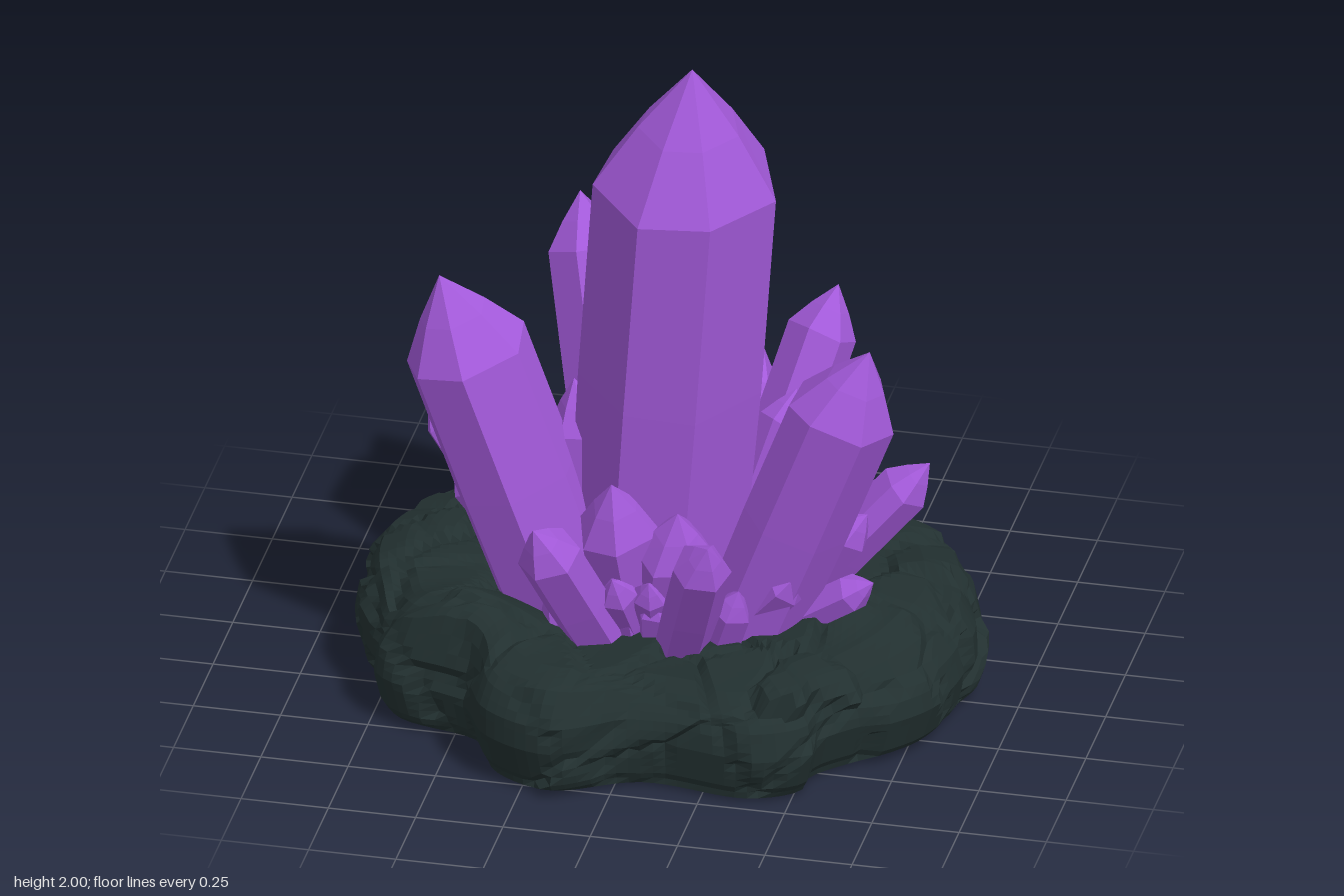
import * as THREE from 'three';

function seeded(seed) {
  return () => {
    seed = (seed * 1664525 + 1013904223) >>> 0;
    return seed / 4294967296;
  };
}

// Faceted surface through closed rings of equal length, listed bottom to top
function skin(rings) {
  const n = rings[0].length, pos = [], index = [];
  rings.forEach((ring) => ring.forEach((p) => pos.push(p.x, p.y, p.z)));
  for (let i = 0; i < rings.length - 1; i++) {
    for (let j = 0; j < n; j++) {
      const a = i * n + j, b = i * n + (j + 1) % n, c = a + n, d = b + n;
      index.push(a, c, b, b, c, d);
    }
  }
  let g = new THREE.BufferGeometry();
  g.setAttribute('position', new THREE.Float32BufferAttribute(pos, 3));
  g.setIndex(index);
  g = g.toNonIndexed();
  g.computeVertexNormals();
  return g;
}

// Pointed prism from base to tip with slightly uneven facets
function crystal(tip, base, r, sides, rand, phase = rand() * 6.28) {
  const axis = tip.clone().sub(base), len = axis.length();
  const shoulder = len - Math.min(1.4 * r, len * 0.45);
  const facets = Array.from({ length: sides }, (_, i) => ({
    a: phase + (i + (rand() - 0.5) * 0.3) / sides * Math.PI * 2,
    k: 0.98 + rand() * 0.07,
    lift: (rand() - 0.5) * 0.3 * r,
  }));
  const ring = (y, s, lift) => facets.map((f) => new THREE.Vector3(
    Math.cos(f.a) * r * s * f.k, y + f.lift * lift, Math.sin(f.a) * r * s * f.k));
  const g = skin([
    ring(0, 0.94, 0),
    ring(shoulder * 0.55, 1, 0),
    ring(shoulder, 1, 1),
    ring(shoulder + (len - shoulder) * 0.5, 0.55, 0.5),
    ring(len, 0, 0),
  ]);
  g.applyQuaternion(new THREE.Quaternion().setFromUnitVectors(new THREE.Vector3(0, 1, 0), axis.normalize()));
  return g.translate(base.x, base.y, base.z);
}

// Cracked rock slab with an irregular outline
function rock() {
  const rand = seeded(11);
  const outline = new THREE.CatmullRomCurve3([
    [0.89, 0], [0.8, 0.31], [0.56, 0.58], [0.55, 0.67], [0.41, 0.75], [0.08, 0.72], [-0.18, 0.83],
    [-0.36, 0.75], [-0.45, 0.58], [-0.72, 0.48], [-0.82, 0.26], [-0.89, -0.05], [-0.81, -0.34],
    [-0.59, -0.53], [-0.55, -0.62], [-0.4, -0.75], [0, -0.74], [0.18, -0.84], [0.39, -0.75],
    [0.57, -0.56], [0.75, -0.4], [0.85, -0.17],
  ].map(([x, z]) => new THREE.Vector3(x, 0, z)), true, 'centripetal');
  const edge = outline.getSpacedPoints(150).slice(0, 150);

  // Plates: each cell is a tilted slab pushed in or out, with grooves between cells
  const cells = Array.from({ length: 90 }, () => {
    const a = rand() * 6.28, k = Math.sqrt(0.25 + 0.75 * rand());
    return {
      p: new THREE.Vector3(Math.cos(a) * 0.88 * k, rand() * 0.38, Math.sin(a) * 0.8 * k),
      tilt: new THREE.Vector3(rand() - 0.5, rand() - 0.5, rand() - 0.5).multiplyScalar(0.4),
      h: (rand() - 0.5) * 0.035,
    };
  });
  const relief = (p) => {
    const near = cells.map((c) => [c.p.distanceTo(p), c]).sort((a, b) => a[0] - b[0]);
    const [[d1, c], [d2]] = near;
    const slope = THREE.MathUtils.clamp(p.clone().sub(c.p).dot(c.tilt), -0.03, 0.03);
    return 0.01 + c.h + slope - 0.022 * (1 - THREE.MathUtils.smoothstep(d2 - d1, 0, 0.03));
  };
  // Raised and sunken spots on top: x, z, height, width
  const mounds = [[-0.46, 0.46, 0.08, 0.17], [0.5, 0.16, 0.09, 0.09], [0, -0.45, 0.03, 0.35], [0.12, 0.6, -0.025, 0.35]];

  // Profile of outline scale and height
  const profile = [[0.94, 0.01], [0.97, 0.05], [1, 0.15], [0.985, 0.23], [0.93, 0.3], [0.82, 0.33], [0.4, 0.325], [0, 0.32]];
  const rows = [[0, 0], profile[0]];
  for (let i = 1; i < profile.length; i++) {
    const [s0, y0] = profile[i - 1], [s1, y1] = profile[i];
    const steps = Math.ceil(Math.hypot(s1 - s0, y1 - y0) / 0.03);
    for (let s = 1; s <= steps; s++) {
      rows.push([THREE.MathUtils.lerp(s0, s1, s / steps), THREE.MathUtils.lerp(y0, y1, s / steps)]);
    }
  }
  return skin(rows.map(([s, y], row) => edge.map((e) => {
    const p = new THREE.Vector3(e.x * s, y, e.z * s);
    if (row < 2) return p;
    const d = relief(p);
    const up = THREE.MathUtils.smoothstep(y, 0.22, 0.32);
    const out = 1 + d * (1 - up);
    p.x *= out;
    p.z *= out;
    p.y += d * up * 0.8;
    for (const [mx, mz, h, w] of mounds) {
      p.y += up * h * Math.exp(-((p.x - mx) ** 2 + (p.z - mz) ** 2) / (w * w));
    }
    return p;
  })));
}

export function createModel() {
  const purple = new THREE.MeshStandardMaterial({ color: 0xa259d9, flatShading: true });
  purple.name = 'purpleCrystal';
  const stone = new THREE.MeshStandardMaterial({ color: 0x223030, flatShading: true });
  stone.name = 'darkStone';

  const model = new THREE.Group();
  model.name = 'crystalCluster';
  const add = (name, geometry, material) => {
    const mesh = new THREE.Mesh(geometry, material);
    mesh.name = name;
    model.add(mesh);
  };
  const rand = seeded(5);
  const vec = (x, y, z) => new THREE.Vector3(x, y, z);

  add('rockBase', rock(), stone);
  add('mainCrystal', crystal(vec(0.1, 2, 0.15), vec(-0.04, 0.2, 0.07), 0.258, 7, rand, 0.07), purple);

  // Leaning crystals fan out from the middle: tip x, y, z and radius
  const fan = {
    largeCrystal: [[-0.6, 1.32, 0.26, 0.175], [0.64, 1.24, 0.29, 0.158]],
    backCrystal: [[-0.35, 1.26, -0.42, 0.115], [0.39, 1.05, -0.42, 0.095], [0.13, 0.75, -0.59, 0.085]],
    sideCrystal: [[0.74, 0.73, -0.03, 0.075], [-0.71, 0.76, -0.11, 0.08]],
    frontCrystal: [[-0.25, 0.74, 0.62, 0.09], [0.25, 0.74, 0.62, 0.082]],
    frontShard: [[-0.08, 0.78, 0.38, 0.12], [0.11, 0.71, 0.38, 0.11], [-0.06, 0.52, 0.46, 0.055], [0.04, 0.51, 0.44, 0.05]],
    sideShard: [[-0.25, 0.95, 0.1, 0.1], [0.35, 0.9, -0.07, 0.07], [-0.6, 0.62, 0.06, 0.06],
      [0.6, 0.64, 0.14, 0.065], [0.64, 0.48, 0.24, 0.055], [0.46, 0.55, 0.33, 0.065]],
    backShard: [[0.03, 0.84, -0.2, 0.09], [0.48, 0.62, -0.23, 0.065], [-0.06, 0.53, -0.44, 0.055],
      [-0.4, 0.66, -0.21, 0.06], [-0.58, 0.62, -0.18, 0.05]],
  };
  for (const [name, list] of Object.entries(fan)) {
    for (const [x, y, z, r] of list) {
      const base = vec(x * 0.38, 0.2, 0.12 + (z - 0.12) * 0.38);
      add(name, crystal(vec(x, y, z), base, r, r > 0.14 ? 7 : 6, rand), purple);
    }
  }

  // Ring of tiny shards around the foot of the cluster
  for (let i = 0; i < 24; i++) {
    const a = (i + rand() * 0.6) / 24 * Math.PI * 2, k = 0.9 + rand() * 0.25;
    const x = Math.cos(a) * k, z = Math.sin(a) * k;
    const tip = vec(x * 0.44, 0.43 + rand() * 0.12, z * 0.38 + 0.06);
    add('tinyShard', crystal(tip, vec(x * 0.3, 0.22, z * 0.26 + 0.07), 0.045 + rand() * 0.02, 5, rand), purple);
  }
  return model;
}
